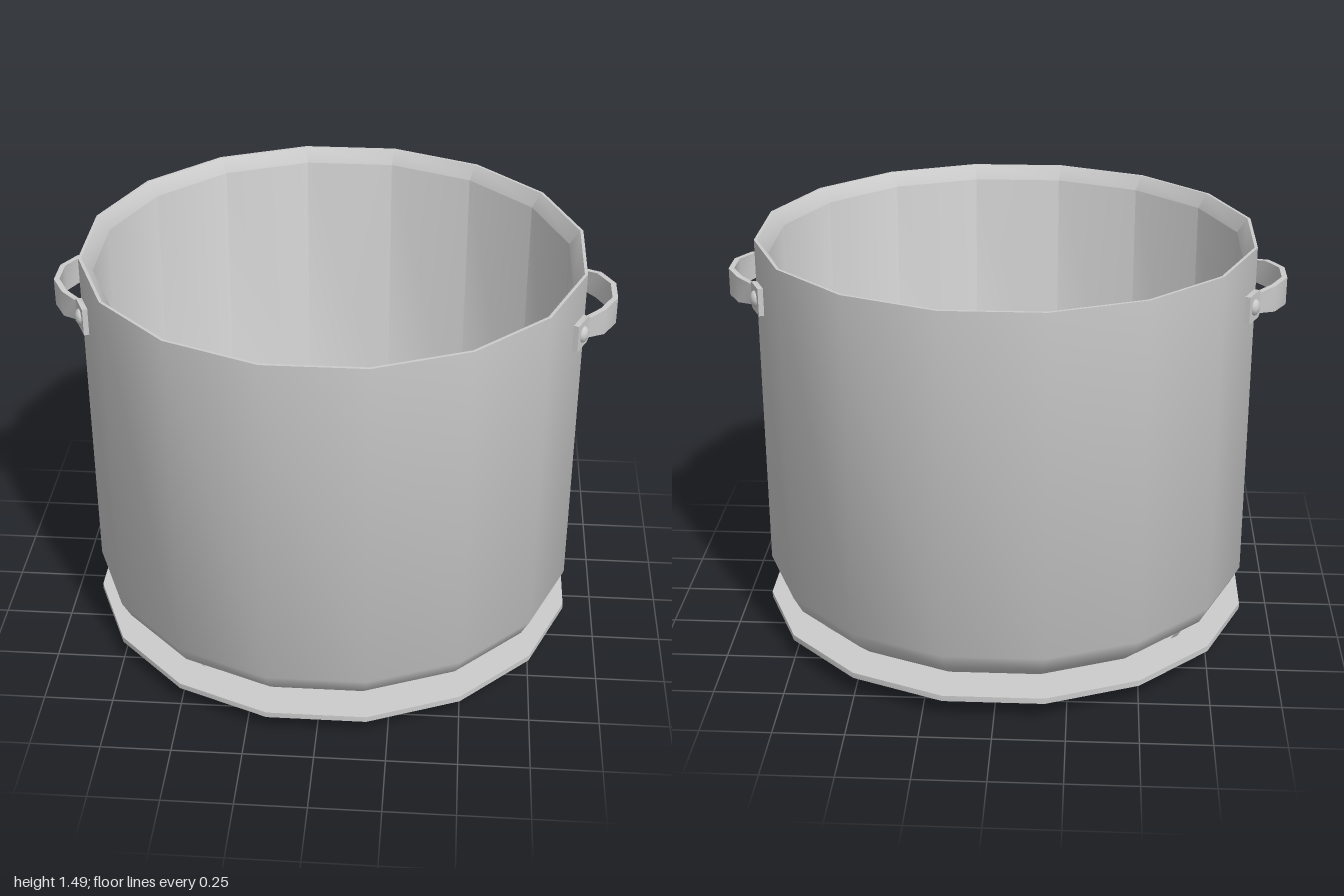
import * as THREE from 'three';
import { toCreasedNormals } from 'three/addons/utils/BufferGeometryUtils.js';

const SIDES = 16;
const material = new THREE.MeshStandardMaterial({ color: 0xcccccc });

function part(name, geometry) {
  const mesh = new THREE.Mesh(geometry, material);
  mesh.name = name;
  return mesh;
}

// 16-sided turned body with flat sides facing the axes
function turned(name, profile) {
  const points = profile.map(([r, y]) => new THREE.Vector2(r, y));
  const geometry = new THREE.LatheGeometry(points, SIDES, Math.PI / SIDES);
  return part(name, toCreasedNormals(geometry, 0.65));
}

// Bent strap: rectangular sections [x, z, half height] joined along a path
function strap(path, thickness) {
  const positions = [];
  const indices = [];
  const t = thickness / 2;
  path.forEach(([x, z, h], i) => {
    const a = path[Math.max(i - 1, 0)];
    const b = path[Math.min(i + 1, path.length - 1)];
    const d = new THREE.Vector2(b[0] - a[0], b[1] - a[1]).normalize();
    const nx = -d.y * t;
    const nz = d.x * t;
    positions.push(x + nx, h, z + nz, x + nx, -h, z + nz, x - nx, -h, z - nz, x - nx, h, z - nz);
    if (i === 0) return;
    for (let k = 0; k < 4; k++) {
      const p = (i - 1) * 4 + k;
      const q = (i - 1) * 4 + (k + 1) % 4;
      indices.push(p, q, p + 4, q, q + 4, p + 4);
    }
  });
  const e = (path.length - 1) * 4;
  indices.push(0, 2, 1, 0, 3, 2, e, e + 1, e + 2, e, e + 2, e + 3);
  const geometry = new THREE.BufferGeometry();
  geometry.setAttribute('position', new THREE.Float32BufferAttribute(positions, 3));
  geometry.setIndex(indices);
  return toCreasedNormals(geometry, 0.8);
}

function createHandle(name) {
  const handle = new THREE.Group();
  handle.name = name;

  // Half path from the middle of the grip to the tab end, then mirrored
  const half = [
    [0.99, 0.055, 0.05], [0.945, 0.14, 0.048], [0.89, 0.185, 0.038],
    [0.882, 0.197, 0.05], [0.845, 0.28, 0.05],
  ];
  const mirrored = half.map(([x, z, h]) => [x, -z, h]).reverse();
  handle.add(part('strap', strap([...mirrored, ...half], 0.02)));

  // Domed rivets standing square to the tabs
  for (const s of [1, -1]) {
    const rivet = part('rivet', new THREE.SphereGeometry(0.03, 10, 6));
    rivet.scale.x = 0.65;
    rivet.position.set(0.872, 0, s * 0.24);
    rivet.rotation.y = -s * Math.PI / 8;
    handle.add(rivet);
  }
  return handle;
}

export function createModel() {
  const model = new THREE.Group();
  model.name = 'pot with saucer';

  // Pot: rounded foot, straight wall, inward sloping rim and hollow inside
  model.add(turned('pot', [
    [0, 0.106], [0.71, 0.106], [0.81, 0.135], [0.862, 0.18], [0.896, 0.245],
    [0.896, 1.49], [0.885, 1.49], [0.848, 1.44],
    [0.848, 0.26], [0.815, 0.2], [0.77, 0.165], [0.69, 0.15], [0, 0.15],
  ]));

  // Saucer: tapered dish with a flat flange
  model.add(turned('saucer', [
    [0, 0], [0.733, 0], [0.78, 0.072], [0.902, 0.072], [0.902, 0.093],
    [0.775, 0.093], [0.72, 0.025], [0, 0.025],
  ]));

  // Low pad carrying the pot
  const pad = part('supportPad', new THREE.CylinderGeometry(0.14, 0.2, 0.084, 16));
  pad.position.y = 0.065;
  pad.scale.z = 0.35;
  model.add(pad);

  // Side handles
  const left = createHandle('leftHandle');
  const right = createHandle('rightHandle');
  right.rotation.y = Math.PI;
  for (const handle of [left, right]) {
    handle.position.y = 1.295;
    model.add(handle);
  }
  return model;
}
